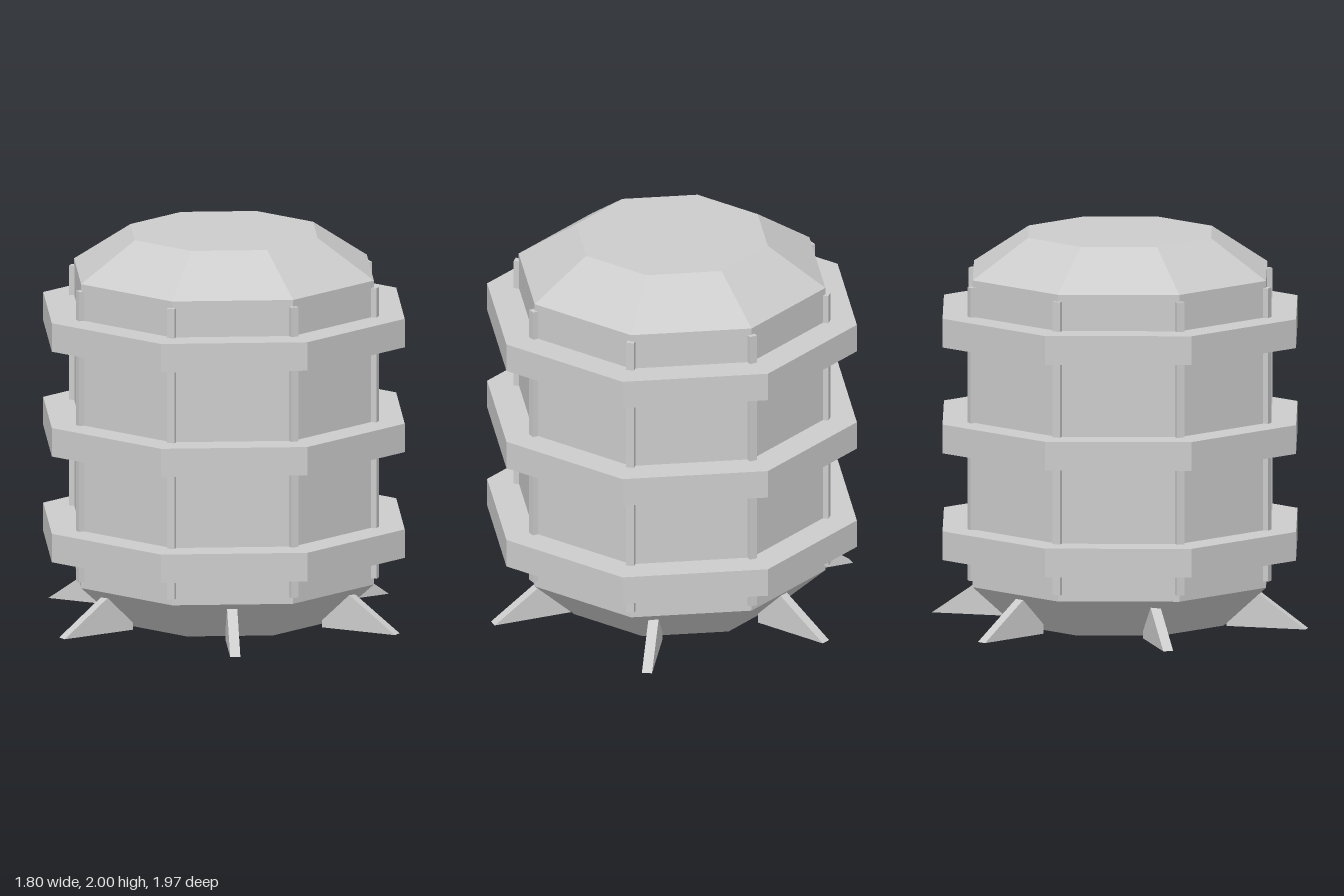
import * as THREE from 'three';

const grey = new THREE.MeshStandardMaterial({ color: 0xcccccc, flatShading: true });
grey.name = 'light grey';

const EIGHTH = Math.PI / 8;

// Octagonal frustum given by its flat-to-centre distances, with a flat side facing +z
function octagon(name, topApothem, bottomApothem, y0, y1, open = false) {
  const k = 1 / Math.cos(EIGHTH);
  const geo = new THREE.CylinderGeometry(topApothem * k, bottomApothem * k, y1 - y0, 8, 1, open, EIGHTH);
  geo.translate(0, (y0 + y1) / 2, 0);
  const mesh = new THREE.Mesh(geo, grey);
  mesh.name = name;
  return mesh;
}

export function createModel() {
  const model = new THREE.Group();
  model.name = 'capsule';

  // Hull: tapered base, straight wall, bevelled roof
  const hull = new THREE.Group();
  hull.name = 'hull';
  hull.add(
    octagon('base', 0.745, 0.53, 0.01, 0.22),
    octagon('wall', 0.745, 0.745, 0.22, 1.8, true),
    octagon('roof', 0.465, 0.745, 1.8, 2.0)
  );
  model.add(hull);

  // Three wide bands around the hull
  [0.37, 0.92, 1.465].forEach((y) => model.add(octagon('band', 0.898, 0.898, y, y + 0.148)));

  // Thin upright ribs on the eight corners
  const ribGeo = new THREE.BoxGeometry(0.04, 1.51, 0.03).translate(0, 1.01, 0.812);
  for (let i = 0; i < 8; i++) {
    const rib = new THREE.Mesh(ribGeo, grey);
    rib.name = 'cornerRib';
    rib.rotation.y = EIGHTH * (2 * i + 1);
    model.add(rib);
  }

  // Six wedge feet, drawn as a side profile (outward, up)
  const profile = new THREE.Shape([
    new THREE.Vector2(0.57, 0),
    new THREE.Vector2(0.985, 0),
    new THREE.Vector2(0.715, 0.19),
    new THREE.Vector2(0.57, 0.19),
  ]);
  const footGeo = new THREE.ExtrudeGeometry(profile, { depth: 0.052, bevelEnabled: false });
  footGeo.translate(0, 0, -0.026).rotateY(-Math.PI / 2);
  for (let i = 0; i < 6; i++) {
    const foot = new THREE.Mesh(footGeo, grey);
    foot.name = 'foot';
    foot.rotation.y = (i * Math.PI) / 3;
    model.add(foot);
  }

  return model;
}
